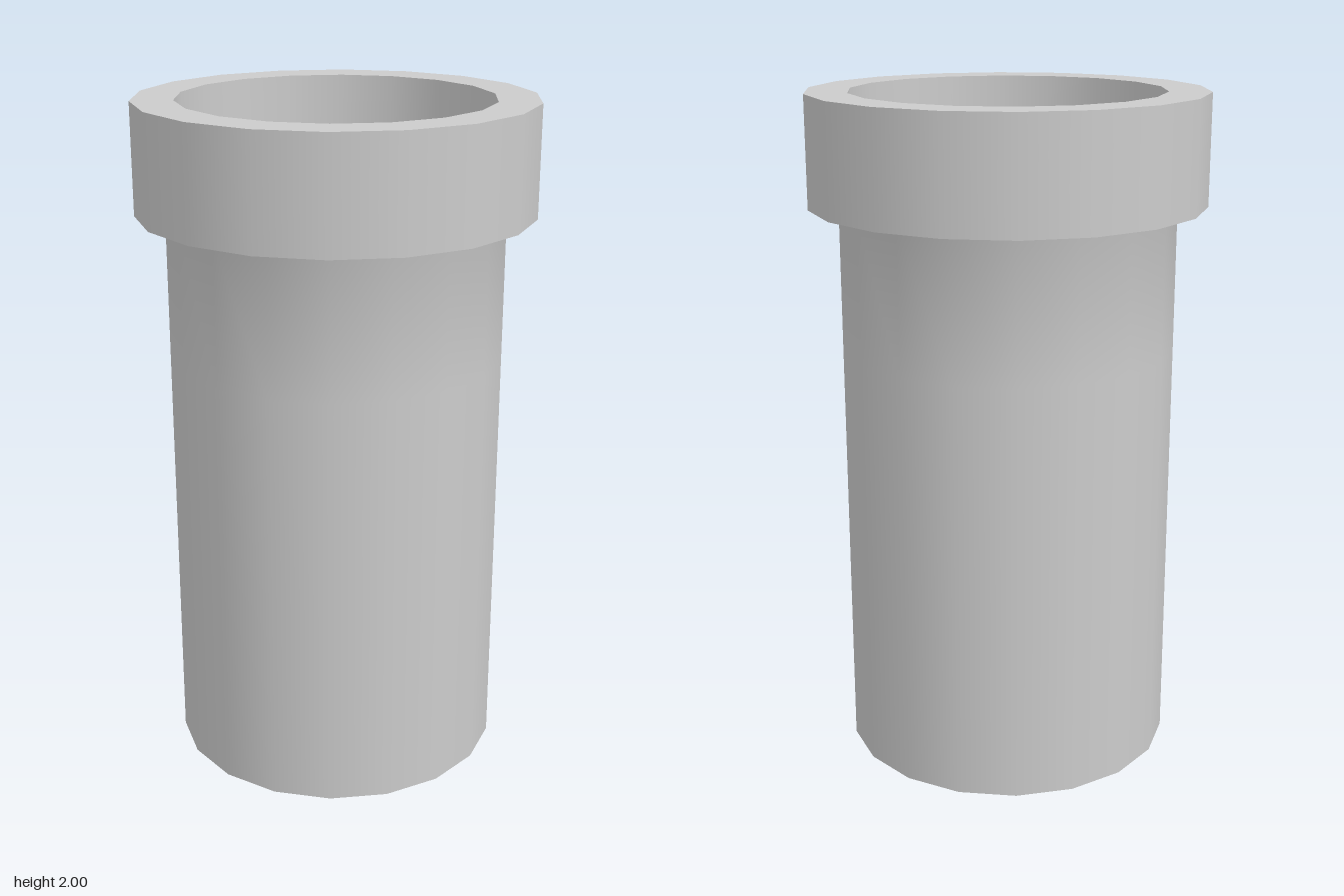
import * as THREE from 'three';

const SIDES = 18;
const OUTER = 0.495, COLLAR = 0.583, BORE = 0.46;
const COLLAR_Y = 1.675, TOP = 2;

const material = new THREE.MeshStandardMaterial({ color: 0xcccccc, side: THREE.DoubleSide });

// Revolves a short [radius, y] profile; shading is smooth along one profile and sharp between profiles.
function revolve(name, profile) {
  const points = profile.map(([r, y]) => new THREE.Vector2(r, y));
  const geometry = new THREE.LatheGeometry(points, SIDES, Math.PI / 2);
  const mesh = new THREE.Mesh(geometry, material);
  mesh.name = name;
  return mesh;
}

export function createModel() {
  const model = new THREE.Group();
  model.name = 'pipeSleeve';

  // Outer tube, blending smoothly into the underside of the collar
  model.add(revolve('tubeWall', [[OUTER, 0], [OUTER, 0.6], [OUTER, 1.25], [OUTER, COLLAR_Y], [COLLAR, COLLAR_Y]]));

  // Collar band and its flat top ring
  model.add(revolve('collarBand', [[COLLAR, COLLAR_Y], [COLLAR, TOP]]));
  model.add(revolve('collarTop', [[COLLAR, TOP], [BORE, TOP]]));

  // Bore, open at both ends, with a chamfered mouth at the bottom
  model.add(revolve('bore', [[BORE, TOP], [BORE, 0.11]]));
  model.add(revolve('bottomChamfer', [[BORE, 0.11], [OUTER, 0]]));

  return model;
}
